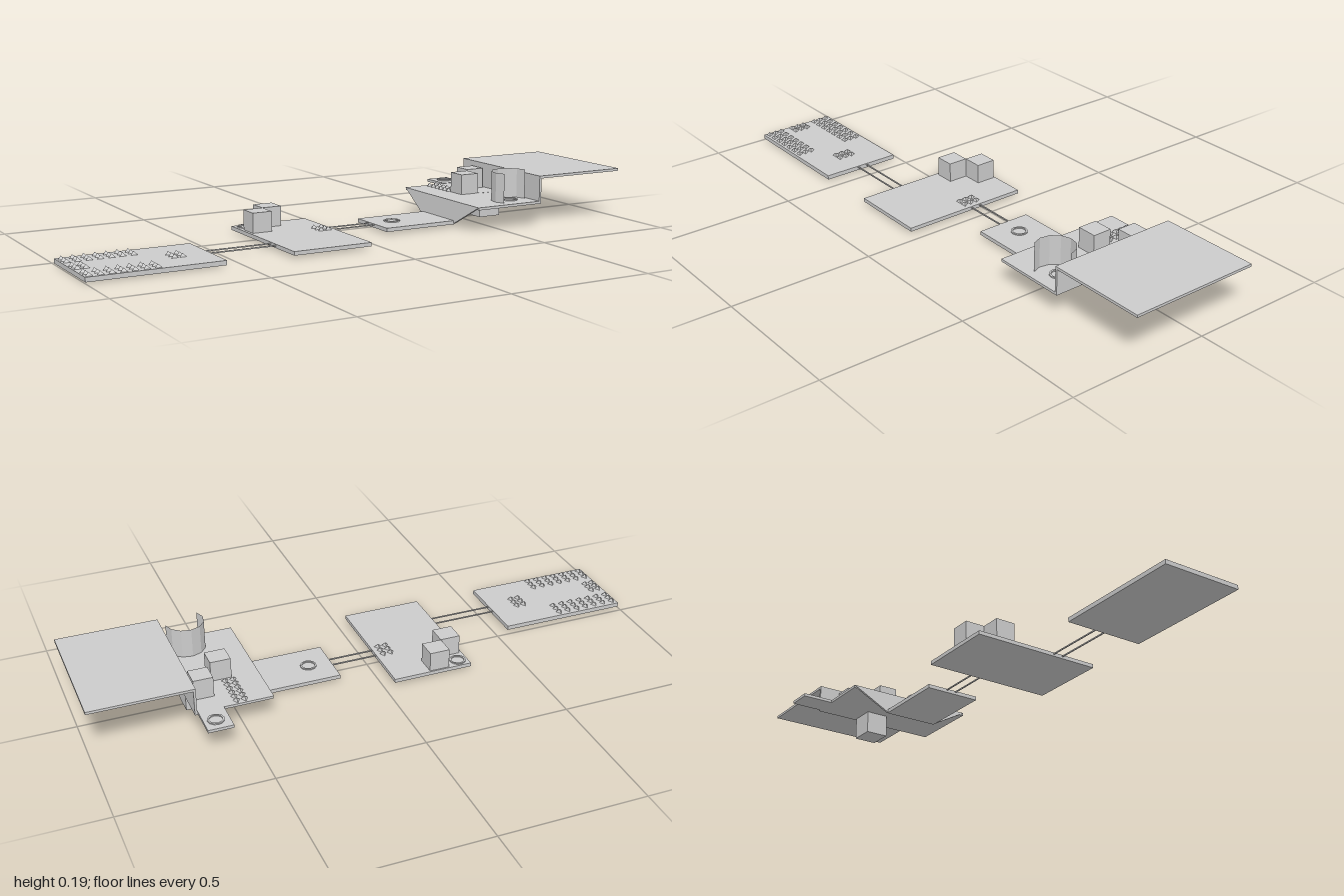
import * as THREE from 'three';

export function createModel() {
  const model = new THREE.Group();
  model.name = 'obstacleCourse';
  const grey = new THREE.MeshStandardMaterial({ color: 0xcccccc, flatShading: true });
  const thin = new THREE.MeshStandardMaterial({ color: 0xcccccc, flatShading: true, side: THREE.DoubleSide });

  const add = (name, geometry, material = grey) => {
    const mesh = new THREE.Mesh(geometry, material);
    mesh.name = name;
    model.add(mesh);
    return mesh;
  };

  // Box given by its limits on each axis
  const block = (name, x0, x1, y0, y1, z0, z1) =>
    add(name, new THREE.BoxGeometry(x1 - x0, y1 - y0, z1 - z0))
      .position.set((x0 + x1) / 2, (y0 + y1) / 2, (z0 + z1) / 2);

  // Platforms
  block('startPlatform', -1, -0.55, 0.006, 0.021, 0.02, 0.303);
  block('secondPlatform', -0.32, -0.04, 0.01, 0.023, -0.155, 0.303);
  block('thirdPlatform', 0.12, 0.392, 0.01, 0.023, -0.06, 0.135);
  block('raisedPlatform', 0.4, 0.657, 0.08, 0.089, -0.193, 0.27);
  block('sideTab', 0.565, 0.65, 0.08, 0.09, -0.303, -0.193);
  block('riserWall', 0.652, 0.66, 0.08, 0.17, -0.193, 0.27);
  block('topPlatform', 0.652, 1, 0.168, 0.177, -0.193, 0.27);

  // Wall that widens from the third platform up to the raised one
  const ramp = new THREE.BoxGeometry(0.008, 0.066, 0.463);
  const p = ramp.attributes.position;
  for (let i = 0; i < p.count; i++) {
    const top = p.getY(i) > 0;
    const back = p.getZ(i) < 0;
    p.setXYZ(i, p.getX(i) + (top ? 0.402 : 0.392), top ? 0.089 : 0.012,
      top ? (back ? -0.193 : 0.27) : (back ? -0.06 : 0.135));
  }
  add('flaredWall', ramp);

  // Thin rails bridging the gaps
  for (const z of [0.14, 0.175]) block('firstRail', -0.56, -0.31, 0.016, 0.02, z - 0.002, z + 0.002);
  for (const z of [0.015, 0.05]) block('secondRail', -0.05, 0.13, 0.018, 0.022, z - 0.002, z + 0.002);

  // Cubes standing on the platforms, and the pillar below the raised one
  block('cube', -0.31, -0.24, 0.023, 0.091, -0.08, -0.01);
  block('cube', -0.24, -0.17, 0.023, 0.091, -0.15, -0.08);
  block('cube', 0.49, 0.56, 0.089, 0.16, -0.035, 0.033);
  block('cube', 0.575, 0.642, 0.089, 0.16, -0.122, -0.055);
  block('pillar', 0.565, 0.65, 0.002, 0.0895, -0.04, 0.04);

  // Flat ring markers
  const ringProfile = [[0.022, 0], [0.028, 0], [0.028, 0.004], [0.022, 0.004], [0.022, 0]]
    .map(([r, y]) => new THREE.Vector2(r, y));
  const ring = new THREE.LatheGeometry(ringProfile, 12);
  for (const [x, y, z] of [[-0.285, 0.023, -0.122], [0.2, 0.023, 0.035], [0.61, 0.09, -0.255], [0.58, 0.089, 0.195]])
    add('ringMarker', ring, thin).position.set(x, y, z);

  // Curved screen around the last ring, open to the front
  const screen = new THREE.CylinderGeometry(0.066, 0.066, 0.102, 7, 1, true,
    THREE.MathUtils.degToRad(94), THREE.MathUtils.degToRad(212));
  add('curvedScreen', screen, thin).position.set(0.576, 0.14, 0.204);

  // Blocks of three-sided spikes, one point of each base to the back
  const spike = new THREE.ConeGeometry(0.0135, 0.012, 3);
  spike.rotateY(Math.PI);
  const spikes = (x0, dx, columns, y, z0, rows) => {
    for (let c = 0; c < columns; c++)
      for (let r = 0; r < rows; r++)
        add('spike', spike, grey).position.set(x0 + c * dx, y + 0.006, z0 + r * 0.0245);
  };
  spikes(-0.985, 0.036, 7, 0.021, 0.041, 3);
  spikes(-0.985, 0.036, 7, 0.021, 0.238, 3);
  spikes(-0.985, 0.027, 2, 0.021, 0.14, 3);
  spikes(-0.675, 0.027, 2, 0.021, 0.14, 3);
  spikes(-0.093, 0.027, 2, 0.023, 0.01, 3);
  spikes(0.49, 0.027, 2, 0.089, -0.175, 6);

  return model;
}
